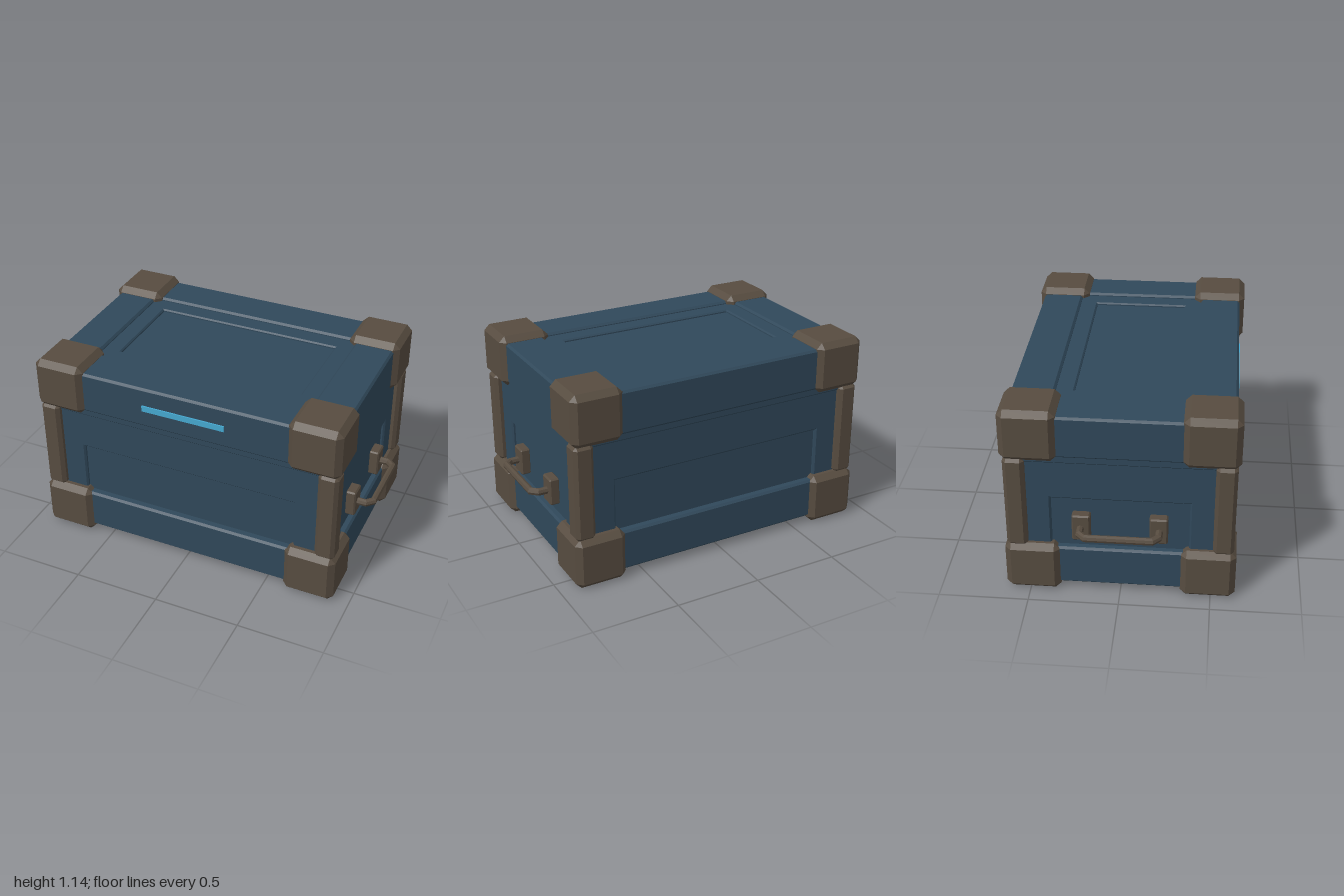
import * as THREE from 'three';
import { ConvexGeometry } from 'three/addons/geometries/ConvexGeometry.js';

const blue = new THREE.MeshStandardMaterial({ color: 0x30485a });
blue.name = 'slate blue panels';
const brown = new THREE.MeshStandardMaterial({ color: 0x574c40 });
brown.name = 'brown fittings';
const cyan = new THREE.MeshStandardMaterial({ color: 0x45a8d0 });
cyan.name = 'cyan light';

// Box with every edge cut at 45 degrees
function chamferBox(w, h, d, c) {
  const points = [];
  for (const x of [-1, 1]) for (const y of [-1, 1]) for (const z of [-1, 1]) {
    const X = x * w / 2, Y = y * h / 2, Z = z * d / 2;
    points.push(
      new THREE.Vector3(X, Y - y * c, Z - z * c),
      new THREE.Vector3(X - x * c, Y, Z - z * c),
      new THREE.Vector3(X - x * c, Y - y * c, Z));
  }
  return new ConvexGeometry(points);
}

function rect(target, x0, y0, x1, y1) {
  target.moveTo(x0, y0);
  target.lineTo(x1, y0);
  target.lineTo(x1, y1);
  target.lineTo(x0, y1);
  target.closePath();
  return target;
}

// Bevelled plate with a rectangular opening, front face at z = 0
function frame(outer, hole, depth, bevel) {
  const shape = rect(new THREE.Shape(), ...outer);
  shape.holes.push(rect(new THREE.Path(), ...hole));
  return new THREE.ExtrudeGeometry(shape, {
    depth: depth - 2 * bevel, bevelEnabled: true, bevelSegments: 1,
    bevelThickness: bevel, bevelSize: bevel, bevelOffset: -bevel,
  }).translate(0, 0, bevel - depth);
}

// Path with sharp, mitred corners
class Polyline extends THREE.Curve {
  constructor(points) {
    super();
    this.points = points;
  }
  getPointAt(u, target = new THREE.Vector3()) {
    return target.copy(this.points[Math.round(u * (this.points.length - 1))]);
  }
  getTangentAt(u, target = new THREE.Vector3()) {
    const p = this.points, n = p.length - 1, i = Math.round(u * n);
    target.set(0, 0, 0);
    if (i > 0) target.add(p[i].clone().sub(p[i - 1]).normalize());
    if (i < n) target.add(p[i + 1].clone().sub(p[i]).normalize());
    return target.normalize();
  }
}

export function createModel() {
  const model = new THREE.Group();
  model.name = 'storageCrate';

  function add(name, geometry, material, x = 0, y = 0, z = 0, parent = model) {
    const mesh = new THREE.Mesh(geometry, material);
    mesh.name = name;
    mesh.position.set(x, y, z);
    parent.add(mesh);
    return mesh;
  }

  // Body: recessed core, base rail and the seam under the lid
  add('bodyCore', new THREE.BoxGeometry(1.68, 0.82, 1.12), blue, 0, 0.46, 0);
  add('baseRail', chamferBox(1.76, 0.24, 1.21, 0.012), blue, 0, 0.16, 0);
  add('lidSeam', chamferBox(1.74, 0.06, 1.184, 0.008), blue, 0, 0.85, 0);

  // Wall frames around the sunken panels
  const longWall = frame([-0.82, 0.15, 0.82, 0.84], [-0.65, 0.2, 0.65, 0.59], 0.08, 0.01);
  const shortWall = frame([-0.54, 0.15, 0.54, 0.84], [-0.375, 0.2, 0.375, 0.59], 0.08, 0.01);
  add('frontWall', longWall, blue, 0, 0, 0.58);
  add('backWall', longWall, blue, 0, 0, -0.58).rotation.y = Math.PI;
  add('leftWall', shortWall, blue, 0.86, 0, 0).rotation.y = Math.PI / 2;
  add('rightWall', shortWall, blue, -0.86, 0, 0).rotation.y = -Math.PI / 2;

  // Lid: outer rails, stepped panel and sunken centre
  const rails = frame([-0.88, -0.605, 0.88, 0.605], [-0.65, -0.37, 0.65, 0.37], 0.245, 0.012);
  add('lidRails', rails, blue, 0, 1.105, 0).rotation.x = -Math.PI / 2;
  const step = frame([-0.68, -0.4, 0.68, 0.4], [-0.55, -0.27, 0.55, 0.27], 0.08, 0.008);
  add('lidPanelFrame', step, blue, 0, 1.088, 0).rotation.x = -Math.PI / 2;
  add('lidPanel', new THREE.BoxGeometry(1.4, 0.2, 0.84), blue, 0, 0.973, 0);

  // Light strip on the front of the lid
  add('lightStrip', new THREE.BoxGeometry(0.49, 0.034, 0.009), cyan, 0, 0.982, 0.6085);

  // Corner blocks and upright posts
  const block = chamferBox(0.3, 0.3, 0.305, 0.033);
  const post = chamferBox(0.115, 0.56, 0.115, 0.02);
  for (const x of [-1, 1]) for (const z of [-1, 1]) {
    add('bottomCorner', block, brown, x * 0.76, 0.15, z * 0.482);
    add('topCorner', block, brown, x * 0.76, 0.99, z * 0.482);
    add('cornerPost', post, brown, x * 0.842, 0.57, z * 0.562);
  }

  // Side handles: two mounting plates and a bent bar
  const plate = chamferBox(0.06, 0.16, 0.1, 0.008);
  const path = [[0.86, -0.213], [0.945, -0.213], [0.979, -0.18],
    [0.979, 0.18], [0.945, 0.213], [0.86, 0.213]];
  const bar = new THREE.TubeGeometry(
    new Polyline(path.map(([x, z]) => new THREE.Vector3(x, 0, z))), path.length - 1, 0.0215, 8)
    .toNonIndexed();
  bar.computeVertexNormals();
  for (const side of [0, 1]) {
    const handle = new THREE.Group();
    handle.name = side ? 'rightHandle' : 'leftHandle';
    handle.position.y = 0.425;
    handle.rotation.y = side * Math.PI;
    for (const z of [-0.21, 0.21]) add('handlePlate', plate, brown, 0.866, 0, z, handle);
    add('handleBar', bar, brown, 0, 0, 0, handle);
    model.add(handle);
  }

  return model;
}
